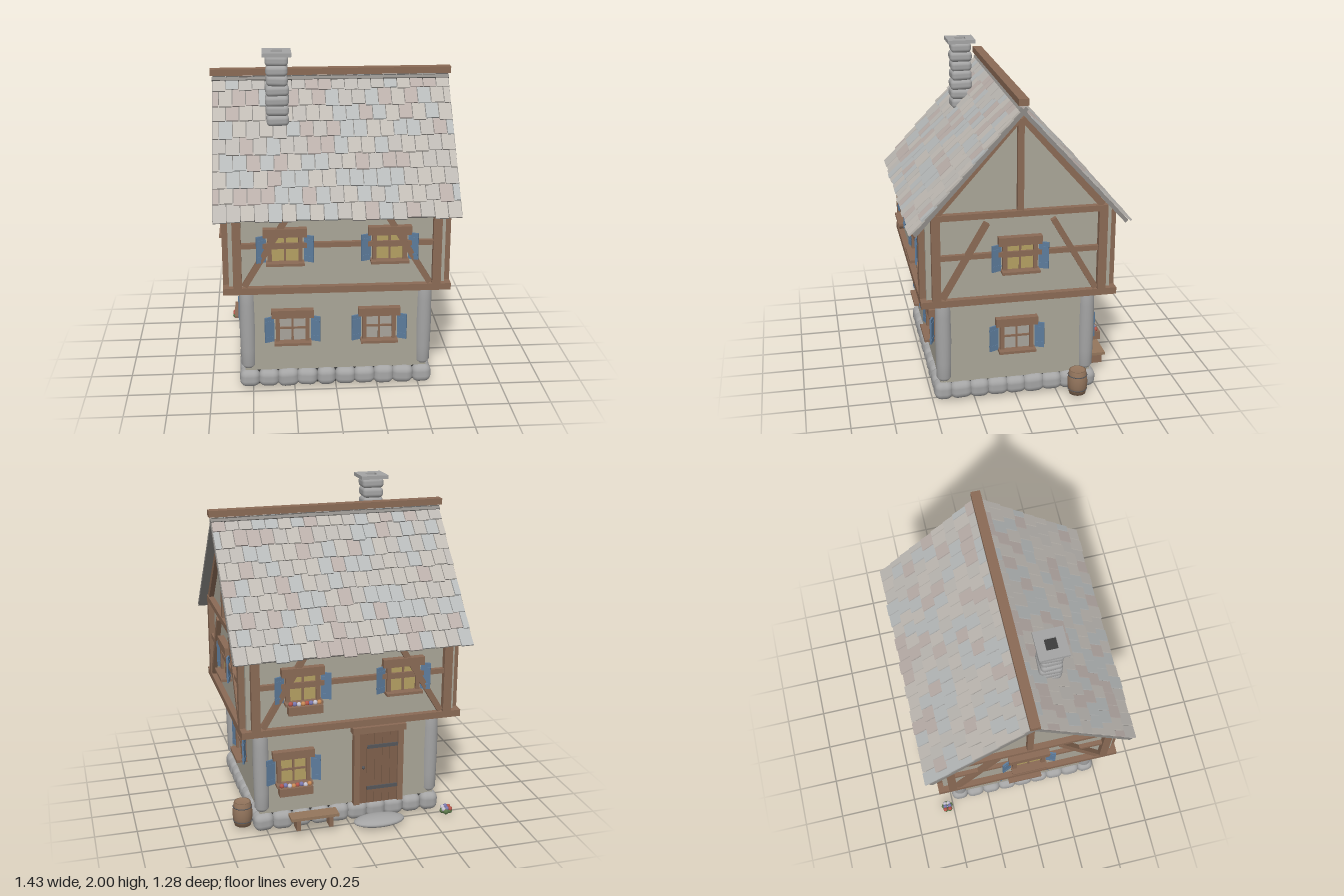
import * as THREE from 'three';
import { RoundedBoxGeometry } from 'three/addons/geometries/RoundedBoxGeometry.js';

const mats = {};
const mat = c => (mats[c] ??= new THREE.MeshStandardMaterial({ color: c }));
const WOOD = 0x8a6a55, WALL = 0xa9a597, STONE = 0xa4a4a4, BLUE = 0x5d7c9c, GLOW = 0xb39f62,
  PANE = 0xa7a39a, IRON = 0x55565a, DARK = 0x3c3c3c;
let seed = 7;
const rnd = () => (seed = (seed * 16807) % 2147483647) / 2147483647;
const jit = a => (rnd() - 0.5) * 2 * a;

function add(parent, name, geo, color, x = 0, y = 0, z = 0) {
  const m = new THREE.Mesh(geo, mat(color));
  m.name = name;
  m.position.set(x, y, z);
  parent.add(m);
  return m;
}
const box = (p, name, w, h, d, x, y, z, color = WOOD) =>
  add(p, name, new THREE.BoxGeometry(w, h, d), color, x, y, z);

function group(parent, name, x = 0, y = 0, z = 0, ry = 0) {
  const g = new THREE.Group();
  g.name = name;
  g.position.set(x, y, z);
  g.rotation.y = ry;
  parent.add(g);
  return g;
}

function stone(p, name, w, h, d, x, y, z) {
  const m = add(p, name, new RoundedBoxGeometry(w, h, d, 3, Math.min(w, h, d) * 0.38), STONE, x, y, z);
  m.rotation.set(jit(0.05), jit(0.06), jit(0.05));
  return m;
}

// Slanted timber between two points of a wall face
function brace(p, name, u0, v0, u1, v1, w) {
  const b = box(p, name, Math.hypot(u1 - u0, v1 - v0), w, 0.03, (u0 + u1) / 2, (v0 + v1) / 2, 0.015);
  b.rotation.z = Math.atan2(v1 - v0, u1 - u0);
}

function flowers(p, n, w, y, z) {
  const cols = [0xb5564a, 0x7a78b0, 0xc9c4cf, 0xc98a55];
  for (let i = 0; i < n; i++)
    add(p, 'blossom', new THREE.SphereGeometry(0.014, 8, 6), cols[i % 4],
      -w / 2 + w * (i + 0.5) / n, y + jit(0.004), z + jit(0.006));
}

// Window with lintel, sill, bars and open shutters, centred on its glass, facing +z
function windowUnit(face, x, y, glass, planter) {
  const g = group(face, 'window', x, y, 0);
  box(g, 'glass', 0.16, 0.155, 0.012, 0, 0, 0.006, glass);
  box(g, 'lintel', 0.25, 0.05, 0.04, 0, 0.1, 0.02);
  box(g, 'sill', 0.22, 0.016, 0.065, 0, -0.083, 0.0325);
  box(g, 'verticalBar', 0.012, 0.155, 0.02, 0, 0, 0.01);
  box(g, 'crossBar', 0.16, 0.012, 0.02, 0, 0.005, 0.01);
  for (const s of [-1, 1]) {
    box(g, 'jamb', 0.024, 0.16, 0.03, s * 0.088, 0, 0.015);
    const sh = group(g, 'shutter', s * 0.137, 0, 0.024, -s * 0.4);
    box(sh, 'shutterBoard', 0.058, 0.16, 0.01, 0, 0, 0, BLUE);
    for (const v of [-0.05, 0.05]) box(sh, 'shutterBatten', 0.056, 0.012, 0.015, 0, v, 0, BLUE);
  }
  if (planter) {
    box(g, 'flowerBox', 0.2, 0.05, 0.05, 0, -0.11, 0.07);
    flowers(g, 8, 0.19, -0.077, 0.07);
  }
}

// Timber frame of one upper wall
function framing(face, half, post, top, u0, u1) {
  box(face, 'bottomBeam', 2 * half, 0.04, 0.035, 0, 0.682, 0.0175);
  box(face, 'topBeam', 2 * post + 0.05, 0.035, 0.035, 0, top - 0.0175, 0.0175);
  box(face, 'middleRail', 2 * post, 0.03, 0.025, 0, 0.955, 0.0125);
  for (const s of [-1, 1]) {
    box(face, 'post', 0.05, top - 0.68, 0.035, s * post, (top + 0.68) / 2, 0.0175);
    brace(face, 'brace', s * u0, 0.71, s * u1, 1.15, 0.034);
  }
}

export function createModel() {
  const house = new THREE.Group();
  house.name = 'cottage';

  // Ground floor
  box(house, 'floorSlab', 1.06, 0.11, 0.88, 0, 0.075, 0, DARK);
  box(house, 'lowerWalls', 1.09, 0.56, 0.91, 0, 0.4, 0, WALL);
  const base = group(house, 'foundation');
  for (const s of [-1, 1]) {
    for (let i = 0; i < 10; i++)
      stone(base, 'foundationStone', 0.122 + jit(0.008), 0.112 + jit(0.006), 0.11, -0.52 + i * 0.1155, 0.067, s * 0.435);
    for (let i = 0; i < 7; i++)
      stone(base, 'foundationStone', 0.11, 0.112 + jit(0.006), 0.122 + jit(0.008), s * 0.525, 0.067, -0.33 + i * 0.11);
  }
  const pillar = new THREE.LatheGeometry([[0, 0.13], [0.03, 0.135], [0.044, 0.155], [0.046, 0.25], [0.049, 0.4],
    [0.047, 0.55], [0.045, 0.635], [0.032, 0.655], [0, 0.66]].map(a => new THREE.Vector2(...a)), 20);
  for (const x of [-0.525, 0.525]) for (const z of [-0.43, 0.43]) add(house, 'cornerPillar', pillar, STONE, x, 0, z);

  // Upper floor with gables in one cross-section
  const sec = new THREE.Shape([[-0.535, 0.67], [0.535, 0.67], [0.535, 1.19], [0, 1.785], [-0.535, 1.19]]
    .map(a => new THREE.Vector2(...a)));
  const upper = new THREE.ExtrudeGeometry(sec, { depth: 1.25, bevelEnabled: false });
  upper.translate(0, 0, -0.625).rotateY(Math.PI / 2);
  add(house, 'upperWalls', upper, WALL);
  for (let i = -4; i <= 4; i++) box(house, 'floorJoist', 0.032, 0.03, 1.0, i * 0.118, 0.658, 0);

  // Long walls: front and back
  for (const back of [false, true]) {
    const ry = back ? Math.PI : 0, s = back ? -1 : 1;
    const up = group(house, back ? 'backUpperWall' : 'frontUpperWall', 0, 0, s * 0.535, ry);
    framing(up, 0.66, 0.575, 1.165, 0.535, 0.27);
    windowUnit(up, -0.3, 0.935, GLOW, back);
    windowUnit(up, 0.3, 0.935, GLOW, false);
    const low = group(house, back ? 'backLowerWall' : 'frontLowerWall', 0, 0, s * 0.455, ry);
    if (back) {
      windowUnit(low, -0.34, 0.395, GLOW, true);
      buildDoor(low, 0.18);
    } else for (const x of [-0.26, 0.255]) windowUnit(low, x, 0.395, PANE, false);
  }

  // Gable walls: both ends
  for (const s of [-1, 1]) {
    const up = group(house, 'gableWall', s * 0.625, 0, 0, s * Math.PI / 2);
    framing(up, 0.57, 0.48, 1.215, 0.445, 0.19);
    box(up, 'kingPost', 0.036, 0.54, 0.03, 0, 1.47, 0.015);
    for (const t of [-1, 1]) brace(up, 'gableRafter', t * 0.475, 1.215, t * 0.01, 1.745, 0.04);
    windowUnit(up, 0, 0.935, GLOW, false);
    windowUnit(group(house, 'endLowerWall', s * 0.545, 0, 0, s * Math.PI / 2), 0, 0.395, PANE, false);
  }

  // Roof slopes with rows of staggered shingles
  const tones = [0xbcb8b3, 0xb9aea9, 0xb6b9b9, 0xc0bbb4];
  const angle = Math.atan2(0.7, 0.635);
  for (const ry of [0, Math.PI]) {
    const slope = group(group(house, 'roofHalf', 0, 1.835, 0, ry), 'roofSlope');
    slope.rotation.x = angle;
    box(slope, 'roofBoards', 1.408, 0.022, 0.925, 0, -0.031, 0.468, 0x8d8a86);
    for (let r = 0; r < 9; r++) {
      let x = -0.703 - (r % 2) * 0.039;
      while (x < 0.69) {
        const a = Math.max(x, -0.703), b = Math.min(x + 0.078, 0.703), len = 0.118 + jit(0.008);
        const tile = box(slope, 'shingle', b - a - 0.005, 0.011, len,
          (a + b) / 2, -0.013 + jit(0.002), r * 0.1045 + len / 2 - 0.008, tones[Math.floor(rnd() * 4)]);
        tile.rotation.x = -0.08;
        x += 0.078;
      }
    }
  }
  box(house, 'ridgeBeam', 1.43, 0.038, 0.056, 0, 1.846, 0);

  // Chimney
  const ch = group(house, 'chimney', -0.325, 0, 0.175);
  for (let i = 0; i < 7; i++) stone(ch, 'chimneyStone', 0.132 + jit(0.007), 0.064, 0.132 + jit(0.007), 0, 1.602 + i * 0.058, 0);
  const cap = new THREE.Shape([[-1, -1], [1, -1], [1, 1], [-1, 1]].map(([a, b]) => new THREE.Vector2(a * 0.084, b * 0.084)));
  cap.holes.push(new THREE.Path([[-1, -1], [-1, 1], [1, 1], [1, -1]].map(([a, b]) => new THREE.Vector2(a * 0.033, b * 0.033))));
  add(ch, 'chimneyCap', new THREE.ExtrudeGeometry(cap, { depth: 0.022, bevelEnabled: false }).rotateX(-Math.PI / 2), STONE, 0, 1.978, 0);
  box(ch, 'flue', 0.07, 0.01, 0.07, 0, 1.982, 0, DARK);

  // Barrel
  const barrel = group(house, 'barrel', 0.63, 0.02, -0.36);
  add(barrel, 'barrelBody', new THREE.LatheGeometry([[0, 0], [0.05, 0], [0.058, 0.045], [0.06, 0.075], [0.058, 0.105],
    [0.05, 0.15], [0.044, 0.15], [0.044, 0.142], [0, 0.142]].map(a => new THREE.Vector2(...a)), 18), 0x92745c);
  for (const y of [0.03, 0.12])
    add(barrel, 'hoop', new THREE.TorusGeometry(0.056, 0.003, 6, 20).rotateX(Math.PI / 2), IRON, 0, y, 0);

  // Bench and doorstep
  const bench = group(house, 'bench', 0.24, 0, -0.56);
  box(bench, 'seat', 0.29, 0.018, 0.085, 0, 0.127, 0, 0x94765c);
  for (const x of [-0.1, 0.1]) box(bench, 'benchLeg', 0.025, 0.07, 0.065, x, 0.085, 0);
  add(house, 'doorstep', new THREE.SphereGeometry(1, 20, 12), STONE, -0.17, 0.03, -0.55).scale.set(0.16, 0.03, 0.08);

  // Flower clump at the corner
  const clump = group(house, 'flowerClump', -0.605, 0, -0.54);
  for (let i = 0; i < 5; i++) {
    const a = i * 1.257;
    add(clump, 'leaves', new THREE.SphereGeometry(0.018, 8, 6), 0x5c7a4c, Math.cos(a) * 0.022, 0.03, Math.sin(a) * 0.022);
  }
  for (const z of [-0.018, 0.014]) flowers(clump, 3, 0.06, 0.046, z);
  return house;
}

// Plank door with frame, straps and handle, facing +z
function buildDoor(face, x) {
  const d = group(face, 'door', x, 0, 0);
  for (let i = -2; i <= 2; i++) box(d, 'doorPlank', 0.046, 0.47, 0.03, i * 0.048, 0.355, 0.015, 0x7f604c);
  for (const s of [-1, 1]) box(d, 'doorJamb', 0.035, 0.48, 0.045, s * 0.137, 0.36, 0.0225);
  box(d, 'doorLintel', 0.33, 0.04, 0.055, 0, 0.605, 0.0275);
  for (const y of [0.22, 0.49]) box(d, 'hingeStrap', 0.19, 0.022, 0.008, 0.025, y, 0.033, IRON);
  add(d, 'handle', new THREE.SphereGeometry(0.01, 10, 8), IRON, -0.095, 0.36, 0.038);
}
